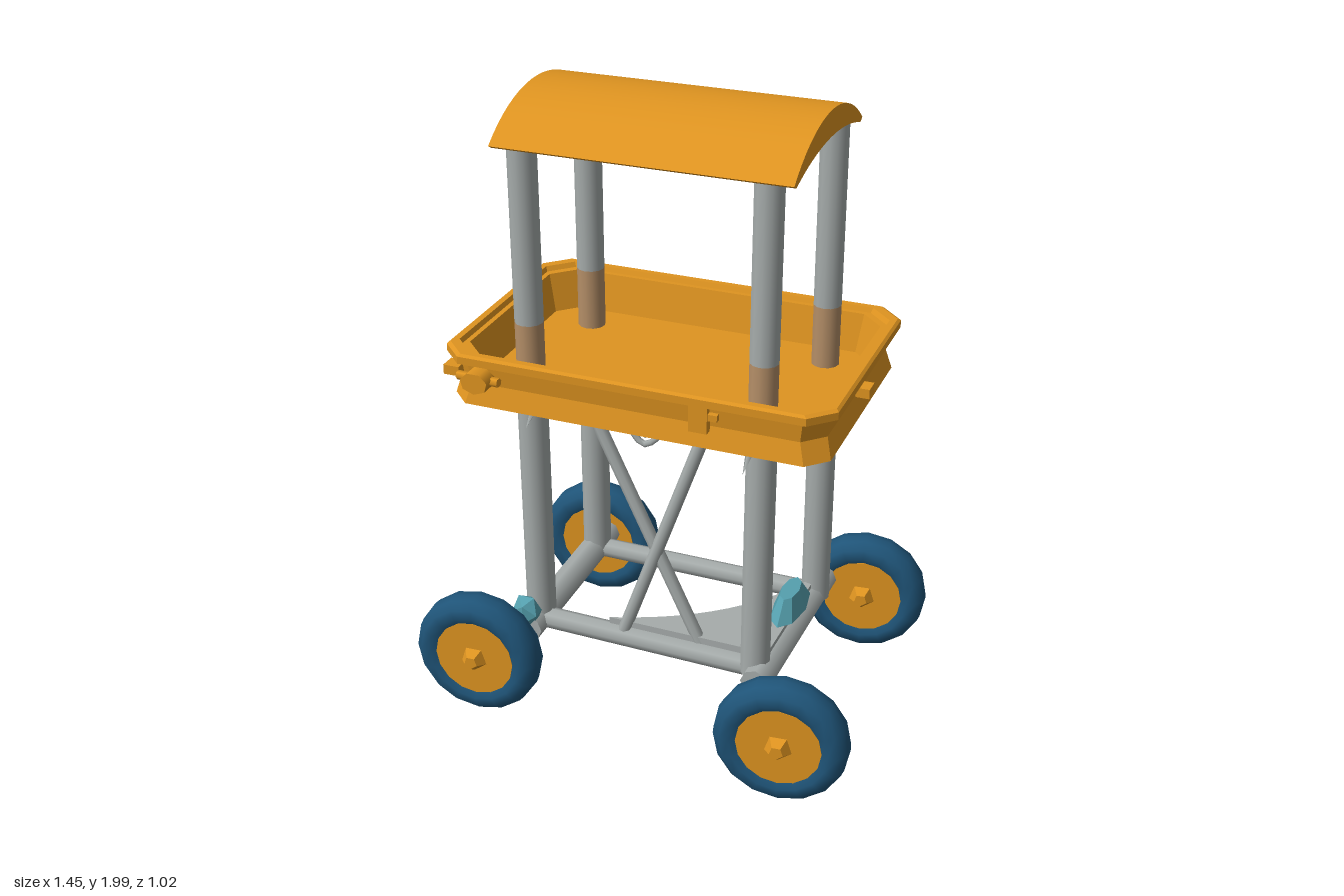
import * as THREE from 'three';
import { toCreasedNormals } from 'three/addons/utils/BufferGeometryUtils.js';

const mat = (name, color, extra = {}) => {
  const m = new THREE.MeshStandardMaterial({ color, ...extra });
  m.name = name;
  return m;
};

export function createModel() {
  const orange = mat('orange paint', 0xdf9420);
  const grey = mat('grey metal', 0xa6acab, { side: THREE.DoubleSide });
  const navy = mat('navy tyre', 0x1f5478);
  const teal = mat('teal trim', 0x55a0ae);
  const tan = mat('tan sleeve', 0xb58f68);

  const model = new THREE.Group();
  model.name = 'canopyCart';
  const V = (x, y, z) => new THREE.Vector3(x, y, z);

  const add = (name, geo, material, parent = model) => {
    const m = new THREE.Mesh(geo, material);
    m.name = name;
    parent.add(m);
    return m;
  };
  const smooth = (geo, angle = 0.7) => toCreasedNormals(geo, angle);

  // Round bar between two points
  const rod = (name, a, b, r, material, sides = 12) => {
    const m = add(name, new THREE.CylinderGeometry(r, r, a.distanceTo(b), sides), material);
    m.position.copy(a).lerp(b, 0.5);
    m.quaternion.setFromUnitVectors(V(0, 1, 0), b.clone().sub(a).normalize());
    return m;
  };
  const box = (name, w, h, d, x, y, z, material) => {
    const m = add(name, new THREE.BoxGeometry(w, h, d), material);
    m.position.set(x, y, z);
    return m;
  };

  // Curved roof, a crescent section drawn along x
  const roof = new THREE.Shape();
  const arc = (half, edge, sag, n) => {
    const R = (half * half + sag * sag) / (2 * sag), a = Math.asin(half / R);
    return Array.from({ length: n + 1 }, (_, i) => {
      const t = -a + (2 * a * i) / n;
      return new THREE.Vector2(R * Math.sin(t), edge + sag - R + R * Math.cos(t));
    });
  };
  roof.setFromPoints([...arc(0.315, 1.888, 0.112, 18), ...arc(0.297, 1.878, 0.045, 18).reverse()]);
  const roofMesh = add('roof', smooth(new THREE.ExtrudeGeometry(roof, { depth: 0.88, bevelEnabled: false })), orange);
  roofMesh.rotation.y = Math.PI / 2;
  roofMesh.position.set(-0.42, 0, -0.005);

  // Tray: chamfered rectangles lofted up the outside, over the rim and down inside
  const ring = (inset, y, c) => {
    const x0 = -0.585 + inset, x1 = 0.61 - inset, z0 = -0.4 + inset, z1 = 0.388 - inset;
    return [[x1, z1 - c], [x1, z0 + c], [x1 - c, z0], [x0 + c, z0],
      [x0, z0 + c], [x0, z1 - c], [x0 + c, z1], [x1 - c, z1]].map(([x, z]) => V(x, y, z));
  };
  const loops = [[0.018, 1.11, 0.06], [0.035, 1.175, 0.06], [0.028, 1.235, 0.06], [0, 1.245, 0.07],
    [0, 1.268, 0.07], [0.008, 1.275, 0.07], [0.028, 1.275, 0.07], [0.034, 1.26, 0.07],
    [0.05, 1.26, 0.07], [0.075, 1.14, 0.06]].map((l) => ring(...l));
  const tris = [];
  for (let k = 0; k < loops.length - 1; k++) {
    for (let i = 0; i < 8; i++) {
      const j = (i + 1) % 8, a = loops[k], b = loops[k + 1];
      tris.push(a[i], a[j], b[j], a[i], b[j], b[i]);
    }
  }
  const bottom = loops[0], floor = loops[loops.length - 1];
  for (let i = 1; i < 7; i++) {
    tris.push(bottom[0], bottom[i + 1], bottom[i], floor[0], floor[i], floor[i + 1]);
  }
  const trayGeo = new THREE.BufferGeometry().setFromPoints(tris);
  trayGeo.computeVertexNormals();
  add('tray', trayGeo, orange);

  // Latches and knobs on the tray walls
  const knob = rod('trayKnob', V(-0.455, 1.2, 0.34), V(-0.455, 1.2, 0.41), 0.034, orange, 7);
  knob.scale.x = 1.3;
  rod('trayKnobStem', V(-0.53, 1.195, 0.36), V(-0.39, 1.2, 0.375), 0.014, orange, 6);
  box('trayLatch', 0.055, 0.09, 0.04, 0.225, 1.205, 0.36, orange);
  box('trayLatchTab', 0.03, 0.02, 0.03, 0.265, 1.21, 0.36, orange);
  box('rightCatch', 0.05, 0.03, 0.05, -0.567, 1.19, 0.31, orange);
  box('leftCatch', 0.05, 0.03, 0.05, 0.592, 1.185, 0.0, orange);

  // Four posts, each with a sleeve where it passes the tray: [x, z at foot, z at top]
  for (const [name, x, zb, zt] of [['frontLeft', 0.365, 0.24, 0.22], ['frontRight', -0.363, 0.212, 0.222],
    ['rearLeft', 0.41, -0.226, -0.22], ['rearRight', -0.363, -0.226, -0.22]]) {
    const at = (y) => V(x, y, zb + ((zt - zb) * (y - 0.3)) / 1.6);
    rod(name + 'LowerPost', at(0.3), at(1.13), 0.046, grey);
    rod(name + 'Sleeve', at(1.13), at(1.335), 0.043, tan);
    rod(name + 'UpperPost', at(1.335), at(1.905), 0.043, grey);
    // Small fin under the tray
    const fin = add(name + 'Fin', new THREE.ConeGeometry(0.03, 0.09, 4), grey);
    fin.position.set(x - Math.sign(x) * 0.02, 1.055, zb + Math.sign(zb) * 0.06);
    fin.rotation.x = Math.sign(zb) * 2.2;
    fin.scale.x = 0.5;
  }

  // Base frame
  rod('leftSill', V(0.39, 0.305, 0.315), V(0.405, 0.305, -0.325), 0.047, grey, 8);
  rod('rightSill', V(-0.37, 0.305, 0.3), V(-0.37, 0.305, -0.325), 0.045, grey, 8);
  rod('frontSill', V(-0.37, 0.31, 0.225), V(0.38, 0.31, 0.235), 0.034, grey, 8);
  rod('rearSill', V(-0.37, 0.31, -0.225), V(0.4, 0.31, -0.225), 0.032, grey, 8);

  // Corner plate with a concave inner edge
  const plate = new THREE.Shape();
  plate.moveTo(0.4, 0.23);
  plate.lineTo(0.41, -0.24);
  plate.quadraticCurveTo(0.27, 0.1, -0.12, 0.23);
  const plateMesh = add('cornerPlate', new THREE.ExtrudeGeometry(plate, { depth: 0.03, bevelEnabled: false }), grey);
  plateMesh.rotation.x = Math.PI / 2;
  plateMesh.position.y = 0.365;

  // Teal pads
  const pad = add('sidePad', new THREE.CylinderGeometry(0.07, 0.13, 0.065, 8).toNonIndexed(), teal);
  pad.geometry.computeVertexNormals();
  pad.scale.x = 0.4;
  pad.position.set(0.39, 0.41, -0.02);
  const corner = add('cornerPad', new THREE.IcosahedronGeometry(0.055, 0), teal);
  corner.position.set(-0.38, 0.36, 0.285);
  corner.scale.set(0.9, 1.1, 0.7);

  // Crossed braces at the front
  rod('braceA', V(-0.21, 1.13, 0.195), V(0.185, 0.32, 0.215), 0.02, grey, 8);
  rod('braceB', V(0.205, 1.13, 0.2), V(-0.075, 0.32, 0.23), 0.02, grey, 8);

  // Hanging hook below the tray
  const hook = new THREE.CatmullRomCurve3([V(-0.12, 1.12, 0.17), V(-0.07, 1.02, 0.17),
    V(-0.025, 0.97, 0.17), V(0.02, 1.0, 0.17), V(0.08, 1.12, 0.17)]);
  add('hook', new THREE.TubeGeometry(hook, 16, 0.01, 6), grey);
  const nub = add('hookNub', new THREE.OctahedronGeometry(0.04, 0), grey);
  nub.position.set(-0.02, 1.03, 0.17);

  // Wheels, turned slightly about y
  const tyreGeo = smooth(new THREE.LatheGeometry([[0.125, -0.045], [0.15, -0.058], [0.18, -0.054],
    [0.202, -0.03], [0.207, 0], [0.202, 0.03], [0.18, 0.054], [0.15, 0.058], [0.125, 0.045],
    [0.125, -0.045]].map(([r, y]) => new THREE.Vector2(r, y)), 16), 0.75);
  const rimGeo = new THREE.CylinderGeometry(0.13, 0.13, 0.098, 16);
  const hubGeo = new THREE.CylinderGeometry(0.022, 0.045, 0.03, 5).toNonIndexed();
  hubGeo.computeVertexNormals();
  for (const [name, x, z, yaw] of [['frontLeft', 0.515, 0.427, 0.1], ['frontRight', -0.515, 0.357, 0.06],
    ['rearLeft', 0.52, -0.432, 0.12], ['rearRight', -0.435, -0.428, 0.08]]) {
    const wheel = new THREE.Group();
    wheel.name = name + 'Wheel';
    wheel.position.set(x, 0.222, z);
    wheel.rotation.set(Math.PI / 2, 0, -yaw);
    wheel.rotation.order = 'YXZ';
    wheel.rotation.set(Math.PI / 2, yaw, 0);
    add('tyre', tyreGeo, navy, wheel);
    add('rim', rimGeo, orange, wheel);
    for (const s of [1, -1]) {
      const hub = add('hubCap', hubGeo, orange, wheel);
      hub.position.y = s * 0.062;
      if (s < 0) hub.rotation.x = Math.PI;
    }
    model.add(wheel);
  }

  return model;
}
